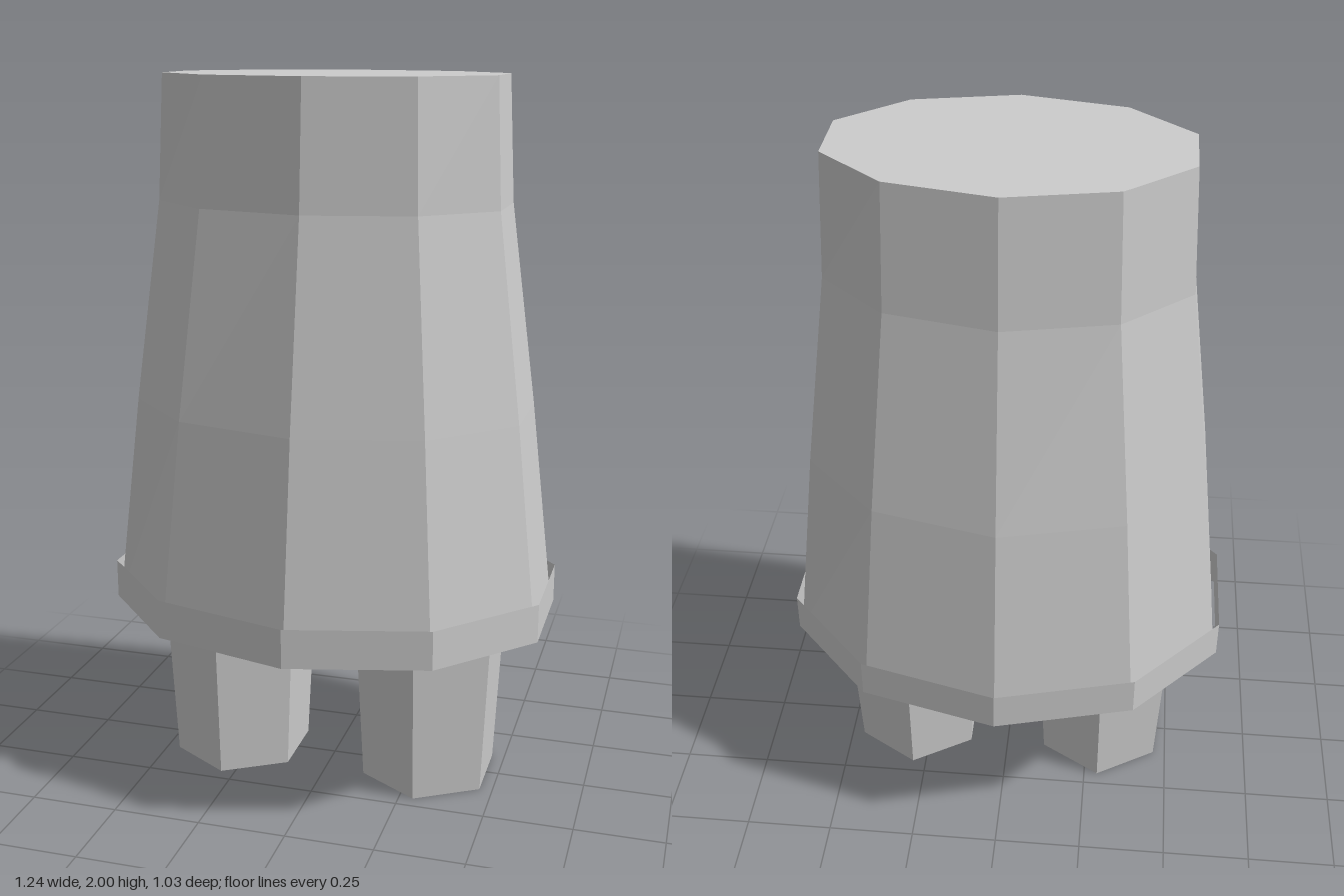
import * as THREE from 'three';

// Faceted tube through elliptical rings [y, radiusX, radiusZ], listed from bottom to top
function loft(rings, sides, open = false) {
  const n = rings.length - 1;
  const geo = new THREE.CylinderGeometry(1, 1, n, sides, n, open);
  const pos = geo.attributes.position;
  for (let i = 0; i < pos.count; i++) {
    const [y, rx, rz] = rings[Math.round(pos.getY(i) + n / 2)];
    pos.setXYZ(i, pos.getX(i) * rx, y, pos.getZ(i) * rz);
  }
  const flat = geo.toNonIndexed();
  flat.computeVertexNormals();
  return flat;
}

export function createModel() {
  const group = new THREE.Group();
  const grey = new THREE.MeshStandardMaterial({
    name: 'pale grey', color: 0xcccccc, flatShading: true, side: THREE.DoubleSide,
  });

  const add = (name, geometry, x = 0) => {
    const mesh = new THREE.Mesh(geometry, grey);
    mesh.name = name;
    mesh.position.x = x;
    group.add(mesh);
  };

  // Tapered ten-sided body, closed at both ends
  add('body', loft([
    [0.5, 0.643, 0.503],
    [1.1, 0.573, 0.422],
    [1.66, 0.498, 0.329],
    [2, 0.481, 0.304],
  ], 10));

  // Thin open band around the lower edge
  add('hemBand', loft([[0.5, 0.652, 0.513], [0.61, 0.652, 0.513]], 10, true));

  // Two six-sided legs, wider at the top
  for (const [name, side] of [['leftLeg', 1], ['rightLeg', -1]]) {
    add(name, loft([[0, 0.2, 0.21], [0.5, 0.226, 0.237]], 6), side * 0.29);
  }

  return group;
}
